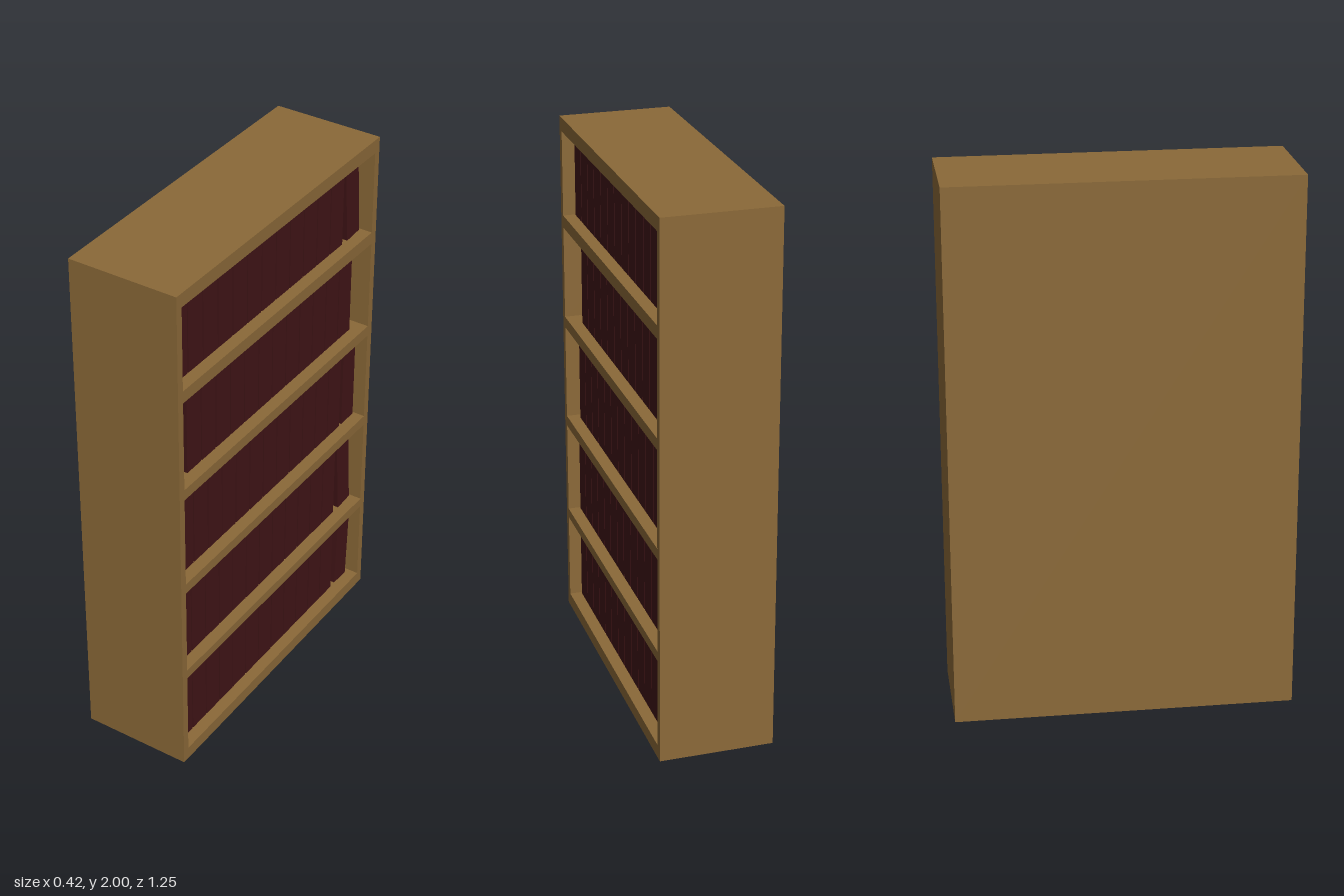
import * as THREE from 'three';

const H = 2, HALF_W = 0.625, HALF_D = 0.21, BACK = 0.03, INNER = 0.597;

// Each row: compartment floor and ceiling, book height, z where the run of
// books starts, number of upright books, and an optional last book (z, tilt)
const ROWS = [
  { floor: 0.05, ceil: 0.388, book: 0.327, start: 0.587, count: 12, last: { z: -0.542, tilt: 0.05 } },
  { floor: 0.425, ceil: 0.78, book: 0.343, start: 0.587, count: 12, last: { z: -0.53, tilt: -0.075 } },
  { floor: 0.82, ceil: 1.185, book: 0.343, start: 0.566, count: 12, last: { z: -0.546, tilt: 0 } },
  { floor: 1.227, ceil: 1.58, book: 0.343, start: 0.514, count: 11, last: { z: -0.498, tilt: 0 } },
  { floor: 1.627, ceil: 1.948, book: 0.308, start: 0.587, count: 12, last: { z: -0.53, tilt: -0.075 } },
];
const PITCH = 0.0882, BOOK_W = 0.083;
const BOOK_BACK = -HALF_D + BACK, BOOK_FRONT = 0.165;

function rect(target, x0, y0, x1, y1) {
  target.moveTo(x0, y0);
  target.lineTo(x1, y0);
  target.lineTo(x1, y1);
  target.lineTo(x0, y1);
  target.closePath();
  return target;
}

export function createModel() {
  const model = new THREE.Group();
  model.name = 'bookcase';
  const wood = new THREE.MeshStandardMaterial({ color: 0x8b6938 });
  const cover = new THREE.MeshStandardMaterial({ color: 0x401416 });

  // Frame and shelves: one slab with a hole per compartment, opening to +x
  const outline = rect(new THREE.Shape(), -HALF_W, 0, HALF_W, H);
  for (const r of ROWS) {
    outline.holes.push(rect(new THREE.Path(), -INNER, r.floor, INNER, r.ceil));
  }
  const frameGeo = new THREE.ExtrudeGeometry(outline, { depth: 2 * HALF_D - BACK, bevelEnabled: false });
  frameGeo.rotateY(Math.PI / 2);
  frameGeo.translate(-HALF_D + BACK, 0, 0);
  const frame = new THREE.Mesh(frameGeo, wood);
  frame.name = 'frameAndShelves';
  model.add(frame);

  // Back panel
  const back = new THREE.Mesh(new THREE.BoxGeometry(BACK, H, 2 * HALF_W), wood);
  back.name = 'backPanel';
  back.position.set(-HALF_D + BACK / 2, H / 2, 0);
  model.add(back);

  // Rows of books
  ROWS.forEach((r, i) => {
    const row = new THREE.Group();
    row.name = `bookRow${i + 1}`;
    const geo = new THREE.BoxGeometry(BOOK_FRONT - BOOK_BACK, r.book, BOOK_W);
    const addBook = (z, tilt) => {
      const book = new THREE.Mesh(geo, cover);
      book.name = tilt ? 'leaningBook' : 'book';
      book.position.set((BOOK_FRONT + BOOK_BACK) / 2, r.floor + r.book / 2 + 0.001, z);
      // Negative tilt leans the top toward the neighbouring books (+z)
      book.rotation.x = -tilt;
      row.add(book);
    };
    for (let k = 0; k < r.count; k++) addBook(r.start - BOOK_W / 2 - k * PITCH, 0);
    addBook(r.last.z, r.last.tilt);
    model.add(row);
  });

  return model;
}
